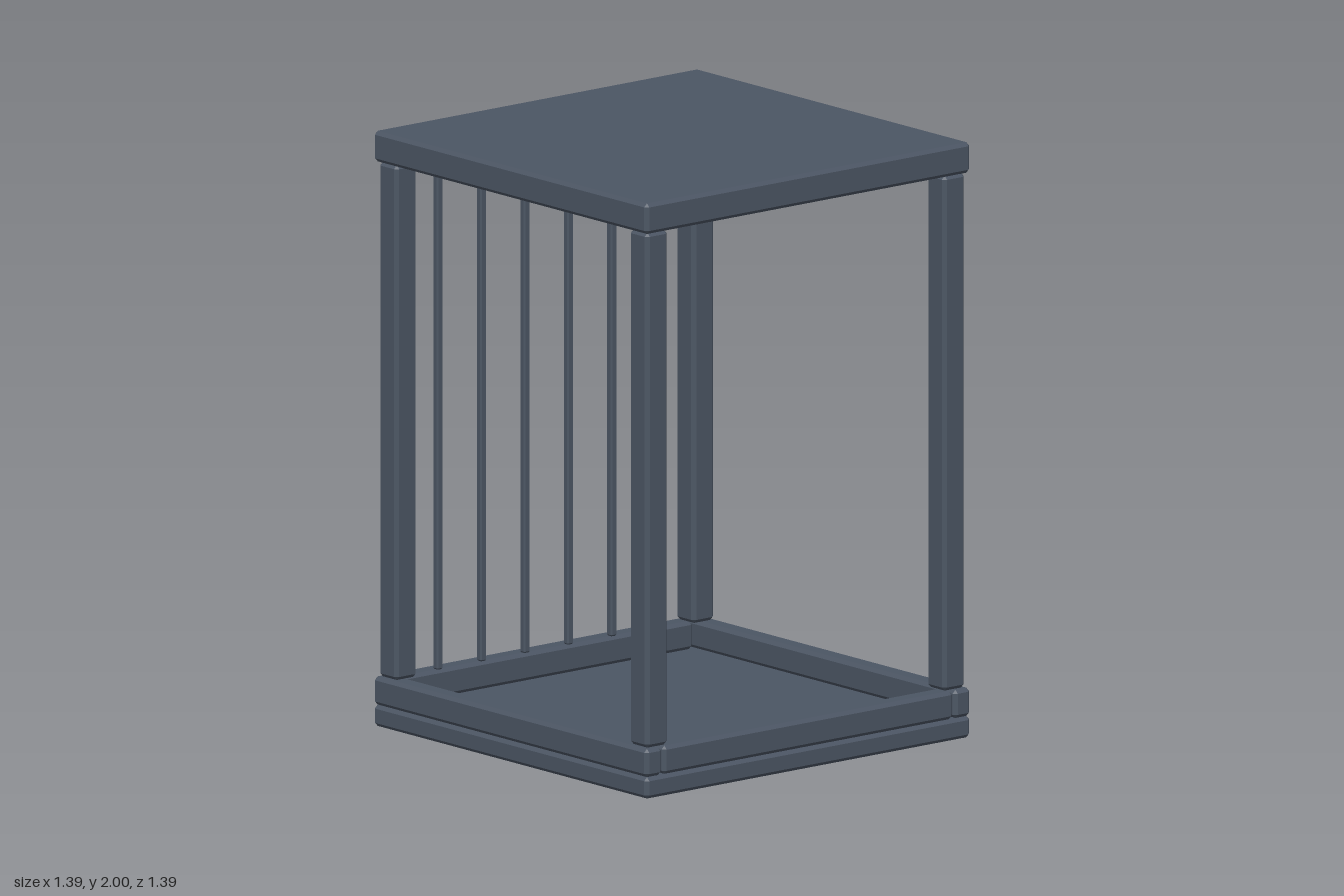
import * as THREE from 'three';
import { ConvexGeometry } from 'three/addons/geometries/ConvexGeometry.js';

const metal = new THREE.MeshStandardMaterial({ color: 0x4b5563 });

// Box with every edge cut by a flat chamfer c
function chamferBox(w, h, d, c) {
  const points = [];
  for (const sx of [-1, 1]) for (const sy of [-1, 1]) for (const sz of [-1, 1]) {
    for (let axis = 0; axis < 3; axis++) {
      const inset = [c, c, c];
      inset[axis] = 0;
      points.push(new THREE.Vector3(
        sx * (w / 2 - inset[0]), sy * (h / 2 - inset[1]), sz * (d / 2 - inset[2])));
    }
  }
  return new ConvexGeometry(points);
}

export function createModel() {
  const group = new THREE.Group();
  const HALF = 0.695, FLOOR_TOP = 0.072, RAIL_TOP = 0.167, ROOF_BOTTOM = 1.897;
  const RAIL = 0.07, POST = 0.093, POST_POS = 0.636, BAR = 0.026;

  // y0 and y1 are the bottom and top of the part
  function add(name, w, d, y0, y1, x, z, chamfer = 0.012) {
    const mesh = new THREE.Mesh(chamferBox(w, y1 - y0, d, chamfer), metal);
    mesh.name = name;
    mesh.position.set(x, (y0 + y1) / 2, z);
    group.add(mesh);
  }

  // Floor and roof slabs
  add('floorSlab', 2 * HALF, 2 * HALF, 0, FLOOR_TOP, 0, 0);
  add('roofSlab', 2 * HALF, 2 * HALF, ROOF_BOTTOM, 2, 0, 0);

  // Rails round the floor: the side rails run full length, the others fit between
  for (const s of [-1, 1]) {
    const offset = s * (HALF - RAIL / 2);
    add(s > 0 ? 'leftRail' : 'rightRail', RAIL, 2 * HALF, FLOOR_TOP, RAIL_TOP, offset, 0);
    add(s > 0 ? 'frontRail' : 'backRail', 1.242, RAIL, FLOOR_TOP, RAIL_TOP, 0, offset);
  }

  // Corner posts
  for (const sx of [-1, 1]) for (const sz of [-1, 1]) {
    const name = (sz > 0 ? 'front' : 'back') + (sx > 0 ? 'Left' : 'Right') + 'Post';
    add(name, POST, POST, RAIL_TOP, ROOF_BOTTOM, sx * POST_POS, sz * POST_POS);
  }

  // Thin bars closing the back
  for (let i = 0; i < 6; i++) {
    add('backBar' + (i + 1), BAR, BAR, RAIL_TOP, ROOF_BOTTOM, (i - 2.5) * 0.186, -POST_POS, 0.005);
  }

  return group;
}
